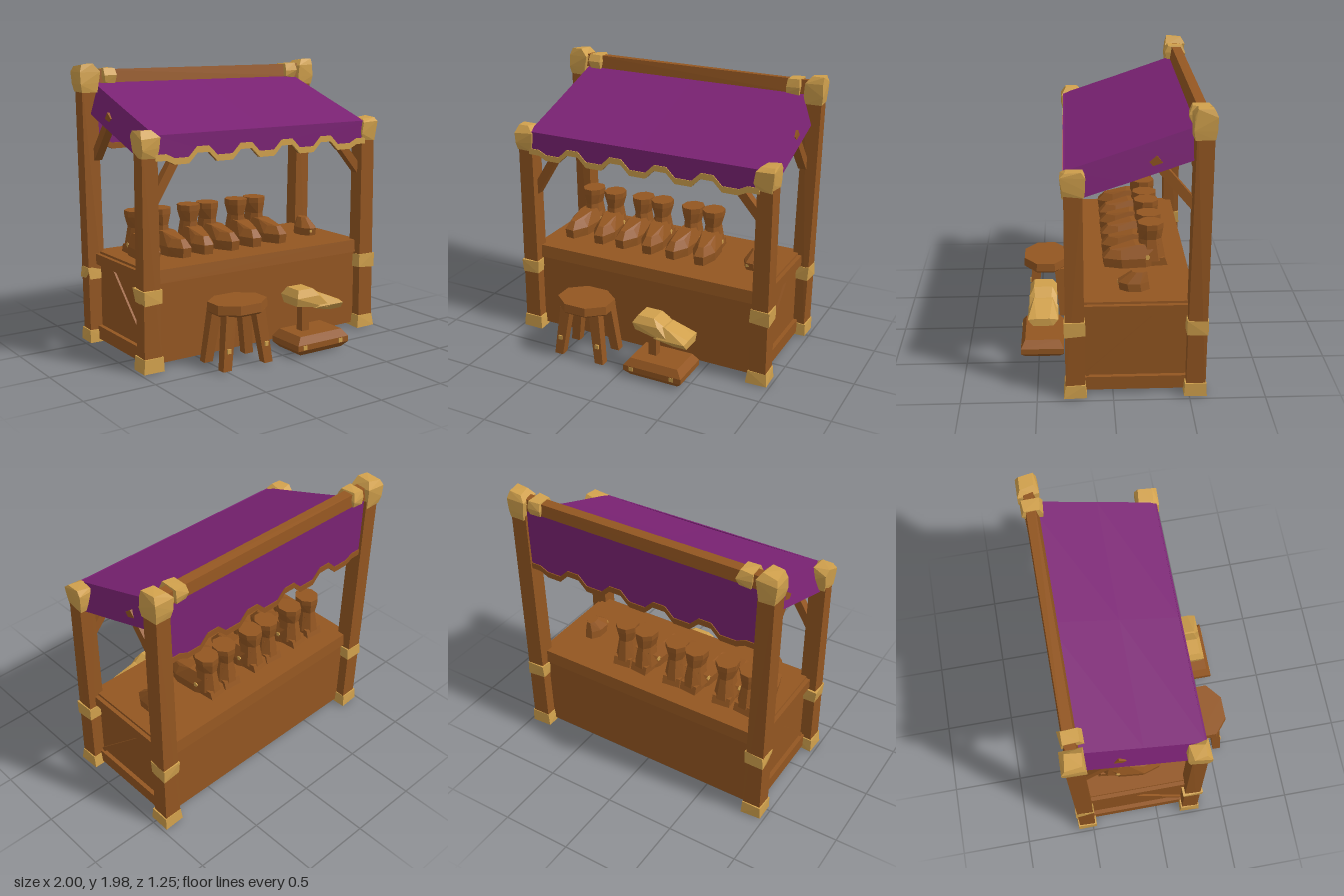
import * as THREE from 'three';
import { ConvexGeometry } from 'three/addons/geometries/ConvexGeometry.js';

const mat = (name, color, side = THREE.FrontSide) => {
  const m = new THREE.MeshStandardMaterial({ color, side, flatShading: true });
  m.name = name;
  return m;
};

export function createModel() {
  const wood = mat('wood', 0x935621);
  const gold = mat('gold', 0xd0a04c);
  const purple = mat('purple cloth', 0x7a2273, THREE.DoubleSide);
  const lining = mat('cloth lining', 0x754a2c, THREE.DoubleSide);
  const root = new THREE.Group();
  root.name = 'marketStall';

  let seed = 7;
  const rnd = () => ((seed = (seed * 16807) % 2147483647) / 2147483647 - 0.5);

  const add = (name, geo, m, parent = root) => {
    const mesh = new THREE.Mesh(geo, m);
    mesh.name = name;
    parent.add(mesh);
    return mesh;
  };
  // Convex solid through a set of [x, y, z] points
  const hull = (pts) => new ConvexGeometry(pts.map((p) => new THREE.Vector3(...p)));
  // Rectangle of four points with clipped or jittered corners
  const rect = (x, y, z, w, d, j = 0) => [[-1, -1], [1, -1], [1, 1], [-1, 1]].map(
    ([a, b]) => [x + a * w / 2 + rnd() * j, y + rnd() * j, z + b * d / 2 + rnd() * j]);
  // Octagonal section
  const oct = (x, y, z, rx, rz) => Array.from({ length: 8 }, (_, i) => {
    const a = (i + 0.5) * Math.PI / 4;
    return [x + rx * Math.cos(a) * 1.08, y, z + rz * Math.sin(a) * 1.08];
  });
  // Box given by its limits
  const box = (name, x0, x1, y0, y1, z0, z1, m = wood, parent = root) => {
    const mesh = add(name, new THREE.BoxGeometry(x1 - x0, y1 - y0, z1 - z0), m, parent);
    mesh.position.set((x0 + x1) / 2, (y0 + y1) / 2, (z0 + z1) / 2);
    return mesh;
  };
  // Square bar between two points
  const bar = (name, a, b, t, m = wood, parent = root) => {
    const A = new THREE.Vector3(...a), B = new THREE.Vector3(...b);
    const mesh = add(name, new THREE.BoxGeometry(t, t, A.distanceTo(B)), m, parent);
    mesh.position.copy(A).add(B).multiplyScalar(0.5);
    mesh.lookAt(B);
    return mesh;
  };

  // Counter with overhanging top and framed sides
  box('counterBody', -0.88, 0.88, 0.03, 0.6, -0.53, 0.24);
  add('counterTop', hull([...rect(0, 0.575, -0.145, 1.79, 0.8), ...rect(0, 0.665, -0.145, 1.77, 0.78)]), wood);
  for (const s of [-1, 1]) {
    const x = s * 0.89;
    box('sideBottomRail', x - 0.02, x + 0.02, 0.03, 0.125, -0.5, 0.22);
    box('sideTopRail', x - 0.025, x + 0.025, 0.575, 0.65, -0.5, 0.22);
    bar('sideDiagonal', [x - s * 0.01, 0.13, 0.18], [x - s * 0.01, 0.57, -0.28], 0.03);
  }

  // Posts with gold caps, bands and feet
  for (const s of [-1, 1]) {
    for (const front of [true, false]) {
      const z = front ? 0.25 : -0.54, h = front ? 1.56 : 1.95;
      const x = s * 0.905, xt = s * (front ? 0.905 : 0.93);
      const p = new THREE.Group();
      p.name = front ? 'frontPost' : 'backPost';
      root.add(p);
      add('postShaft', hull([...rect(x, 0.02, z, 0.125, 0.12, 0.01), ...rect(xt, h - 0.03, z, 0.115, 0.11, 0.01)]), wood, p);
      add('postFoot', hull([...rect(x, 0.006, z, 0.15, 0.145, 0.01), ...rect(x, 0.1, z, 0.135, 0.135, 0.01)]), gold, p);
      add('postBand', hull([...rect(x, 0.465, z, 0.135, 0.13, 0.015), ...rect(x, 0.56, z, 0.138, 0.135, 0.015)]), gold, p);
      const c = front ? 1.41 : 1.78;
      add('postCap', hull([
        ...rect(xt, c, z, 0.115, 0.125, 0.012), ...rect(xt, c + 0.06, z, 0.13, 0.145, 0.015),
        ...rect(xt, h - 0.02, z, 0.135, 0.15, 0.02), ...rect(xt + s * 0.015, h + 0.018, z, 0.09, 0.1, 0.025),
      ]), gold, p);
    }
    // Corner braces
    bar('frontBrace', [s * 0.87, s < 0 ? 1.09 : 1.19, 0.23], [s * 0.66, 1.43, 0.23], 0.06);
    bar('sideBrace', [s * 0.88, 1.33, -0.5], [s * 0.88, 1.64, -0.24], 0.06);
    // Gold sleeves of the roof beam
    add('beamSleeve', hull([...rect(s * 0.78, 1.84, -0.535, 0.08, 0.12, 0.015),
      ...rect(s * 0.78, 1.89, -0.53, 0.1, 0.145, 0.015), ...rect(s * 0.78, 1.94, -0.535, 0.085, 0.11, 0.015)]), gold);
  }
  add('roofBeam', hull([...rect(0, 1.845, -0.54, 1.8, 0.09, 0.01), ...rect(0, 1.935, -0.54, 1.78, 0.07, 0.01)]), wood);

  // Canopy: sloping sheet with flared side skirts
  const sheet = (drop, inset) => {
    const sec = (y, z) => [[-0.925 + inset, y - 0.19, z], [-0.865 + inset, y - drop, z],
      [0, y - drop - 0.008, z], [0.865 - inset, y - drop, z], [0.925 - inset, y - 0.19, z]];
    const rows = [sec(1.85, -0.56), sec(1.69, -0.1), sec(1.555, 0.3)];
    const pos = rows.flat(2), idx = [];
    for (let r = 0; r < 2; r++) for (let i = 0; i < 4; i++) {
      const a = r * 5 + i, b = a + 5;
      idx.push(a, b, a + 1, b, b + 1, a + 1);
    }
    const g = new THREE.BufferGeometry();
    g.setAttribute('position', new THREE.Float32BufferAttribute(pos, 3));
    g.setIndex(idx);
    const flat = g.toNonIndexed();
    flat.computeVertexNormals();
    return flat;
  };
  add('canopyCloth', sheet(0, 0), purple);
  add('canopyLining', sheet(0.012, 0.01), lining);

  // Scalloped edge line, left to right
  const wave = (y) => {
    const pts = [[-0.87, y + 0.03], [-0.79, y + 0.03], [-0.73, y]];
    for (let i = 0; i < 4; i++) {
      const c = -0.515 + i * 0.34;
      pts.push([c - 0.11, y], [c - 0.045, y + 0.065], [c + 0.045, y + 0.065], [c + 0.11, y]);
    }
    return [...pts, [0.73, y], [0.79, y + 0.03], [0.87, y + 0.03]];
  };
  const plate = (pts, depth) => new THREE.ExtrudeGeometry(
    new THREE.Shape(pts.map((p) => new THREE.Vector2(...p))), { depth, bevelEnabled: false });
  const valance = (name, top, low, z, outer, inner, flip) => {
    const g = new THREE.Group();
    g.name = name;
    g.position.z = z;
    if (flip) g.rotation.y = Math.PI;
    root.add(g);
    add('valanceCloth', plate([...wave(low + 0.03), [0.865, top], [-0.865, top]], 0.012), purple, g);
    const band = plate([...wave(low), ...wave(low + 0.042).reverse()], 0.018);
    add('valanceTrim', band, outer, g);
    add('valanceTrimBack', band, inner, g).position.z = -0.012;
  };
  valance('frontValance', 1.555, 1.36, 0.298, gold, wood, false);
  valance('backValance', 1.86, 1.375, -0.565, wood, wood, true);

  // Boots standing on the counter, toes forward
  const boot = (x, turn) => {
    const g = new THREE.Group();
    g.name = 'boot';
    g.position.set(x, 0.662, -0.25);
    g.rotation.y = turn;
    root.add(g);
    add('bootFoot', hull([
      ...oct(0, 0, 0.09, 0.08, 0.2), ...oct(0, 0.07, 0.1, 0.085, 0.2),
      ...oct(0, 0.125, 0.13, 0.05, 0.12), ...rect(0, 0.16, 0, 0.1, 0.16),
    ]), wood, g);
    add('bootHeel', hull([...rect(0, 0, -0.08, 0.13, 0.13), ...rect(0, 0.06, -0.06, 0.13, 0.13)]), wood, g);
    add('bootAnkle', hull([...oct(0, 0.04, -0.04, 0.075, 0.095), ...oct(0, 0.2, -0.03, 0.052, 0.075)]), wood, g);
    add('bootShaft', hull([...oct(0, 0.19, -0.03, 0.052, 0.075), ...oct(0, 0.27, -0.03, 0.074, 0.085),
      ...oct(0, 0.31, -0.03, 0.076, 0.085)]), wood, g);
    for (const s of [-1, 1]) {
      const stud = add('bootStud', new THREE.CylinderGeometry(0.018, 0.018, 0.02, 6), gold, g);
      stud.rotation.z = Math.PI / 2;
      stud.position.set(s * 0.072, 0.075, 0);
    }
  };
  [-0.7, -0.51, -0.275, -0.11, 0.135, 0.305].forEach((x, i) => boot(x, i % 2 ? 0.1 : -0.1));

  // Small slipper at the end of the counter
  add('slipper', hull([...oct(0.685, 0.662, -0.15, 0.065, 0.1), ...oct(0.685, 0.72, -0.14, 0.065, 0.1),
    ...oct(0.69, 0.79, -0.18, 0.03, 0.05)]), wood);
  box('slipperStud', 0.655, 0.675, 0.69, 0.71, -0.06, -0.04, gold);

  // Stool with four splayed legs
  const stool = new THREE.Group();
  stool.name = 'stool';
  root.add(stool);
  add('stoolSeat', hull([...oct(-0.345, 0.37, 0.455, 0.185, 0.15), ...oct(-0.345, 0.385, 0.455, 0.2, 0.165),
    ...oct(-0.345, 0.445, 0.455, 0.195, 0.16)]), wood, stool);
  for (const a of [-1, 1]) for (const b of [-1, 1]) {
    const x = -0.345 + a * 0.165, z = 0.44 + b * 0.115;
    add('stoolLeg', hull([...rect(x, 0.012, z, 0.065, 0.06), ...rect(x - a * 0.05, 0.38, z - b * 0.03, 0.08, 0.07)]), wood, stool);
    box('legStud', x - a * 0.015 - 0.014, x - a * 0.015 + 0.014, 0.13, 0.16, z + 0.015, z + 0.031, gold, stool);
  }

  // Cobbler's stand: bevelled base, stem and gold foot form
  const stand = new THREE.Group();
  stand.name = 'shoeStand';
  root.add(stand);
  add('standBase', hull([...rect(0.26, 0.012, 0.475, 0.36, 0.24), ...rect(0.26, 0.05, 0.475, 0.44, 0.3),
    ...rect(0.26, 0.09, 0.475, 0.44, 0.3), ...rect(0.26, 0.142, 0.475, 0.36, 0.24)]), wood, stand);
  box('standStem', 0.17, 0.23, 0.13, 0.33, 0.435, 0.495, wood, stand);
  for (const x of [0.1, 0.41]) box('baseStud', x - 0.016, x + 0.016, 0.055, 0.085, 0.615, 0.628, gold, stand);
  add('heelForm', hull([
    ...rect(0.165, 0.34, 0.465, 0.15, 0.15), ...rect(0.175, 0.4, 0.465, 0.19, 0.19),
    ...rect(0.17, 0.45, 0.465, 0.12, 0.13), ...rect(0.34, 0.31, 0.465, 0.04, 0.2), [0.31, 0.395, 0.41], [0.31, 0.395, 0.52],
  ]), gold, stand);
  add('toeForm', hull([
    ...rect(0.29, 0.31, 0.465, 0.1, 0.18), ...rect(0.43, 0.275, 0.465, 0.1, 0.14),
    ...rect(0.37, 0.32, 0.465, 0.21, 0.21), ...rect(0.3, 0.4, 0.465, 0.03, 0.13), [0.48, 0.33, 0.42], [0.48, 0.33, 0.51],
  ]), gold, stand);

  return root;
}
